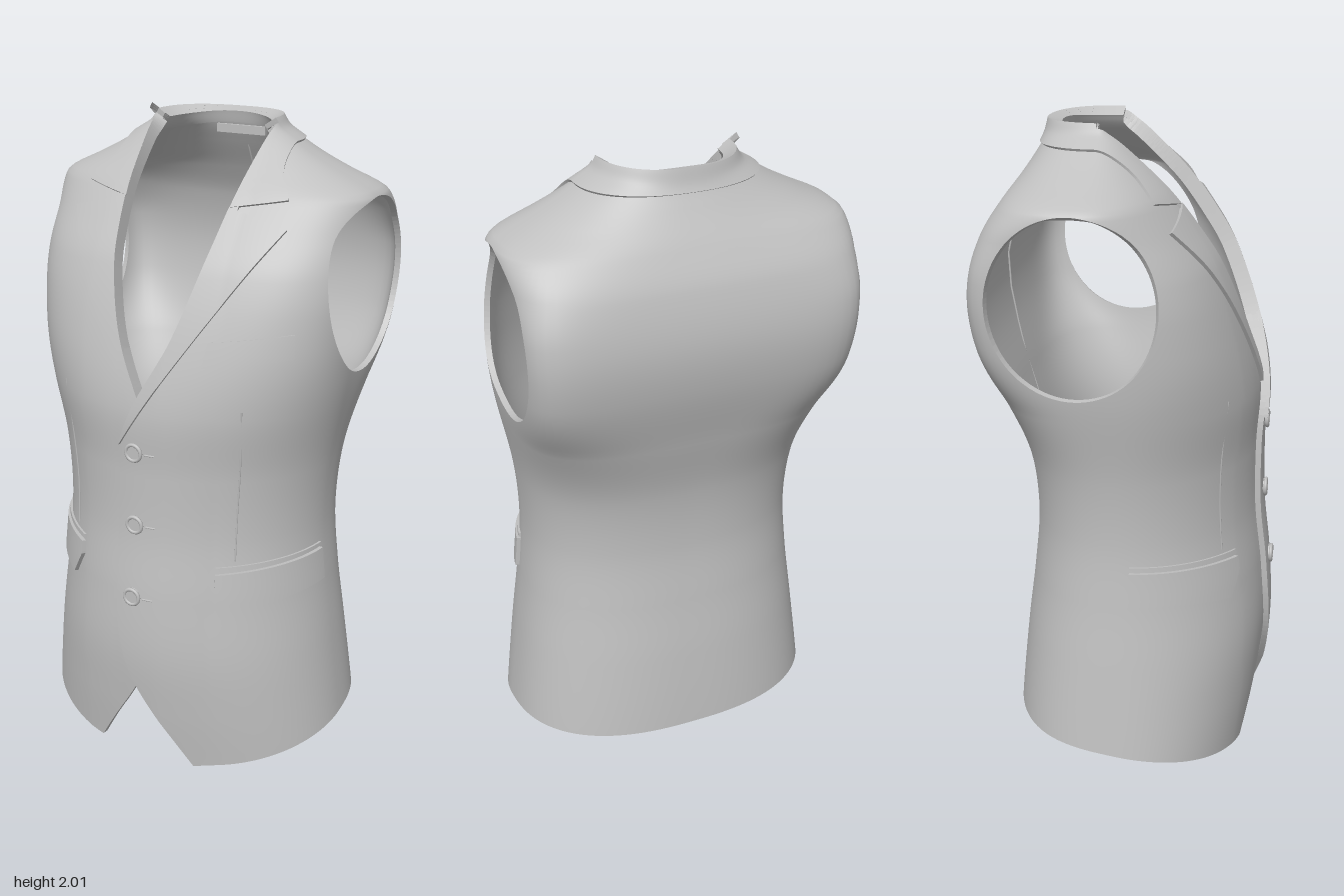
import * as THREE from 'three';

// smooth interpolation through [y, value] pairs
function curve(pts) {
  const n = pts.length;
  const slope = pts.map((p, i) => {
    const a = pts[Math.max(0, i - 1)], b = pts[Math.min(n - 1, i + 1)];
    return (b[1] - a[1]) / (b[0] - a[0]);
  });
  return (y) => {
    let i = 0;
    while (i < n - 2 && y > pts[i + 1][0]) i++;
    const [y0, v0] = pts[i], [y1, v1] = pts[i + 1], h = y1 - y0;
    const t = Math.min(1, Math.max(0, (y - y0) / h)), u = 1 - t;
    return u * u * (1 + 2 * t) * v0 + t * t * (3 - 2 * t) * v1 + h * t * u * (u * slope[i] - t * slope[i + 1]);
  };
}

// torso profiles by height: half width, front, back, widest depth, squareness
const width = curve([[0, .53], [.1, .52], [.4, .483], [.6, .458], [.8, .443], [1, .455], [1.27, .502], [1.5, .52],
  [1.7, .524], [1.79, .526], [1.815, .505], [1.86, .41], [1.9, .33], [1.94, .262], [1.967, .218], [2, .195]]);
const front = curve([[0, .385], [.2, .41], [.4, .425], [.6, .415], [.8, .392], [1, .386], [1.2, .387], [1.4, .342],
  [1.6, .268], [1.7, .208], [1.8, .135], [1.9, .045], [2, -.05]]);
const back = curve([[0, -.385], [.13, -.38], [.4, -.355], [.6, -.33], [.8, -.312], [1, -.325], [1.2, -.375],
  [1.4, -.428], [1.55, -.44], [1.7, -.412], [1.8, -.365], [1.9, -.305], [1.95, -.278], [2, -.265]]);
const middle = curve([[0, 0], [1.3, 0], [1.5, -.02], [1.65, -.06], [1.8, -.105], [2, -.085]]);
const frontPower = curve([[0, 2.05], [.3, 2], [.6, 1.92], [1, 1.95], [1.2, 2.1], [1.4, 2.4], [1.6, 2.6], [1.8, 2.35], [2, 2.3]]);
const backPower = curve([[0, 2.5], [.9, 2.5], [1.2, 3.6], [1.4, 7], [1.6, 7.5], [1.72, 5], [1.8, 3.2], [1.86, 2.5], [2, 2.3]]);
// front opening: cutaway, button overlap and V neck
const opening = curve([[-.02, .19], [.1, .118], [.29, 0], [.4, -.042], [.55, -.063], [1.06, -.06], [1.2, -.015],
  [1.4, .085], [1.6, .145], [1.77, .175], [2, .205]]);

// point on one half of the torso; a runs from centre front (0) round to centre back (PI)
function point(a, y, lift) {
  const s = Math.sin(a), c = Math.cos(a), n = c > 0 ? frontPower(y) : backPower(y);
  const r = Math.pow(Math.pow(Math.abs(s), n) + Math.pow(Math.abs(c), n), -1 / n), m = middle(y);
  const x = width(y) * r * s;
  const over = c > 0 ? lift * Math.max(0, Math.min(1, 1.5 - x / .15)) : 0;
  return new THREE.Vector3(x, y, m + r * c * (c > 0 ? front(y) - m : m - back(y)) + over);
}
function normalAt(a, y, lift) {
  const e = .004;
  const da = point(a + e, y, lift).sub(point(a - e, y, lift));
  const dy = point(a, Math.min(2, y + e), lift).sub(point(a, y - e, lift));
  return da.cross(dy).normalize();
}

const openEdge = (p) => (p.c > 0 ? p.x - opening(p.y) : 1);
const hemEdge = (p) => p.y - .13 * (1 - Math.pow(1 - (.38 - p.z) / .765, 3));
const armhole = (p) => Math.hypot((p.z + .112) / .245, (p.y - 1.535) / .265) - 1;
// keeps the side of a straight line (in x, y) to the left of its direction
const leftOf = (x0, y0, x1, y1) => (p) => (x1 - x0) * (p.y - y0) - (y1 - y0) * (p.x - x0);

// cloth panel: the torso surface trimmed by rules, then given thickness
function panel({ a = [-.3, Math.PI], y = [-.01, 2], cols = 76, rows = 110, cuts, offset = 0, thick = .018, lift = 0, side = 1 }) {
  const ids = new Map(), verts = [], index = [];
  const make = (aa, yy) => {
    const p = point(aa, yy, lift);
    return { a: aa, c: Math.cos(aa), x: p.x, y: yy, z: p.z };
  };
  const idOf = (p) => {
    const key = Math.round(p.a * 2e4) + ',' + Math.round(p.y * 2e4);
    if (!ids.has(key)) { ids.set(key, verts.length); verts.push(p); }
    return ids.get(key);
  };
  const clip = (poly, f) => poly.flatMap((p, i) => {
    const q = poly[(i + 1) % poly.length], fp = f(p), fq = f(q), out = fp >= 0 ? [p] : [];
    if ((fp >= 0) !== (fq >= 0)) {
      const t = fp / (fp - fq);
      out.push(make(p.a + (q.a - p.a) * t, p.y + (q.y - p.y) * t));
    }
    return out;
  });
  // rows crowd together toward the top, where the shoulders slope
  const rowY = (j) => y[0] + (y[1] - y[0]) * (1 - Math.pow(1 - j / rows, 1.4));
  const colA = (i) => a[0] + (a[1] - a[0]) * i / cols;
  for (let j = 0; j < rows; j++) for (let i = 0; i < cols; i++) {
    let poly = [[i, j], [i + 1, j], [i + 1, j + 1], [i, j + 1]].map(([u, v]) => make(colA(u), rowY(v)));
    for (const f of cuts) poly = clip(poly, f);
    const k = poly.map(idOf).filter((v, n, all) => v !== all[(n + 1) % all.length]);
    for (let n = 1; n + 1 < k.length; n++) if (k[0] !== k[n + 1]) index.push([k[0], k[n], k[n + 1]]);
  }
  const pos = [], nor = [], tri = [], outer = [], inner = [];
  const add = (v, n) => { pos.push(v.x * side, v.y, v.z); nor.push(n.x * side, n.y, n.z); return pos.length / 3 - 1; };
  const face = (i, j, k) => (side > 0 ? tri.push(i, j, k) : tri.push(i, k, j));
  for (const p of verts) {
    const n = normalAt(p.a, p.y, lift), v = point(p.a, p.y, lift);
    outer.push(v.clone().addScaledVector(n, offset));
    inner.push(v.clone().addScaledVector(n, offset - thick));
    add(outer[outer.length - 1], n);
    add(inner[inner.length - 1], n.clone().negate());
  }
  const edges = new Set();
  for (const [i, j, k] of index) {
    face(2 * i, 2 * j, 2 * k);
    face(2 * i + 1, 2 * k + 1, 2 * j + 1);
    edges.add(i + ',' + j).add(j + ',' + k).add(k + ',' + i);
  }
  // rim along every open edge
  for (const e of edges) {
    const [i, j] = e.split(',').map(Number);
    if (edges.has(j + ',' + i)) continue;
    const n = inner[i].clone().sub(outer[i]).cross(outer[j].clone().sub(outer[i])).normalize();
    const [p, q, r, s] = [outer[i], inner[i], inner[j], outer[j]].map((v) => add(v, n));
    face(p, q, r);
    face(p, r, s);
  }
  const g = new THREE.BufferGeometry();
  g.setAttribute('position', new THREE.Float32BufferAttribute(pos, 3));
  g.setAttribute('normal', new THREE.Float32BufferAttribute(nor, 3));
  g.setIndex(tri);
  return g;
}

// point on the front at a given x and y
function onFront(x, y, lift = 0) {
  let lo = -.5, hi = Math.PI / 2;
  for (let i = 0; i < 30; i++) {
    const m = (lo + hi) / 2;
    if (point(m, y, 0).x < x) lo = m; else hi = m;
  }
  return point(lo, y, lift);
}

export function createModel() {
  const group = new THREE.Group();
  const cloth = new THREE.MeshStandardMaterial({ color: 0xc0c0c0 });
  cloth.name = 'grey cloth';
  const add = (name, geo) => {
    const m = new THREE.Mesh(geo, cloth);
    m.name = name;
    group.add(m);
    return m;
  };
  const seam = (name, pts, r, side) => {
    const path = new THREE.CatmullRomCurve3(pts.map((p) => new THREE.Vector3(p.x * side, p.y, p.z)));
    add(name, new THREE.TubeGeometry(path, 16, r, 6));
  };
  const collarOuter = curve([[1.74, .33], [1.8, .335], [1.87, .285], [1.935, .27], [2, .25]]);

  for (const side of [1, -1]) {
    const which = side > 0 ? 'left' : 'right', lift = side > 0 ? .014 : -.006;
    const base = { side, lift };
    add(which + 'Body', panel({ ...base, cuts: [openEdge, hemEdge, armhole] }));

    // lapel and collar with the notch between them, and the thick roll at the neck edge
    add(which + 'Lapel', panel({ ...base, a: [-.3, 1.4], y: [1.08, 1.8], cols: 44, rows: 44, offset: .011, thick: .013,
      cuts: [openEdge, leftOf(-.05, 1.1, .345, 1.715), leftOf(.345, 1.73, .18, 1.775)] }));
    add(which + 'Collar', panel({ ...base, a: [.2, Math.PI], y: [1.75, 2], cols: 56, rows: 28, offset: .008, thick: .012,
      cuts: [openEdge, leftOf(.18, 1.777, .335, 1.802), (p) => (p.c > 0 ? collarOuter(p.y) - p.x : p.y - 1.935)] }));
    add(which + 'NeckRoll', panel({ ...base, y: [1.2, 2], cols: 70, rows: 50, offset: .006, thick: .042,
      cuts: [openEdge, (p) => (p.c > 0 ? opening(p.y) + .025 - p.x : p.y - 1.965)] }));

    // hip pocket flap under a narrow welt
    const hip = { ...base, a: [.3, 1.7], cols: 40, rows: 12 };
    const ends = [(p) => p.x - .235 - .15 * Math.max(0, .65 - p.y), (p) => p.z - .04];
    add(which + 'PocketFlap', panel({ ...hip, y: [.54, .74], offset: .013, thick: .016,
      cuts: [...ends, leftOf(.25, .572, .45, .612), leftOf(.25, .63, .285, .565), leftOf(.46, .718, .235, .7)] }));
    add(which + 'PocketWelt', panel({ ...hip, y: [.69, .76], offset: .007, thick: .01,
      cuts: [...ends, leftOf(.235, .708, .46, .724), leftOf(.46, .736, .235, .722)] }));

    // dart running from chest to pocket
    seam(which + 'Dart', [[.305, 1.23], [.295, 1.05], [.285, .9], [.283, .74]].map(([x, y]) => onFront(x, y)), .003, side);
  }

  // chest pocket on the wearer's left
  add('chestPocket', panel({ a: [.2, 1.5], y: [1.32, 1.48], cols: 40, rows: 14, offset: .008, thick: .01,
    cuts: [leftOf(.19, 1.352, .425, 1.385), leftOf(.425, 1.385, .422, 1.456), leftOf(.422, 1.456, .2, 1.425),
      leftOf(.2, 1.425, .19, 1.352)] }));

  // buttons with raised rims, and their buttonholes
  for (const y of [1.075, .84, .605]) {
    const z = onFront(-.005, y, .014).z;
    const disc = add('button', new THREE.CylinderGeometry(.026, .028, .012, 24));
    disc.rotation.x = Math.PI / 2;
    disc.position.set(-.005, y, z + .002);
    add('buttonRim', new THREE.TorusGeometry(.025, .006, 8, 24)).position.set(-.005, y, z + .006);
    seam('buttonhole', [.03, .045, .062].map((x) => onFront(x, y - .003, .014)), .003, 1);
  }

  // hanger loop inside the back neck and the inner back seam
  add('hangerLoop', new THREE.BoxGeometry(.17, .026, .012)).position.set(0, 1.933, -.25);
  seam('innerBackSeam', [1.88, 1.6, 1.3, 1, .7, .4, .16].map((y) => new THREE.Vector3(0, y, back(y) + .019)), .003, 1);
  return group;
}
